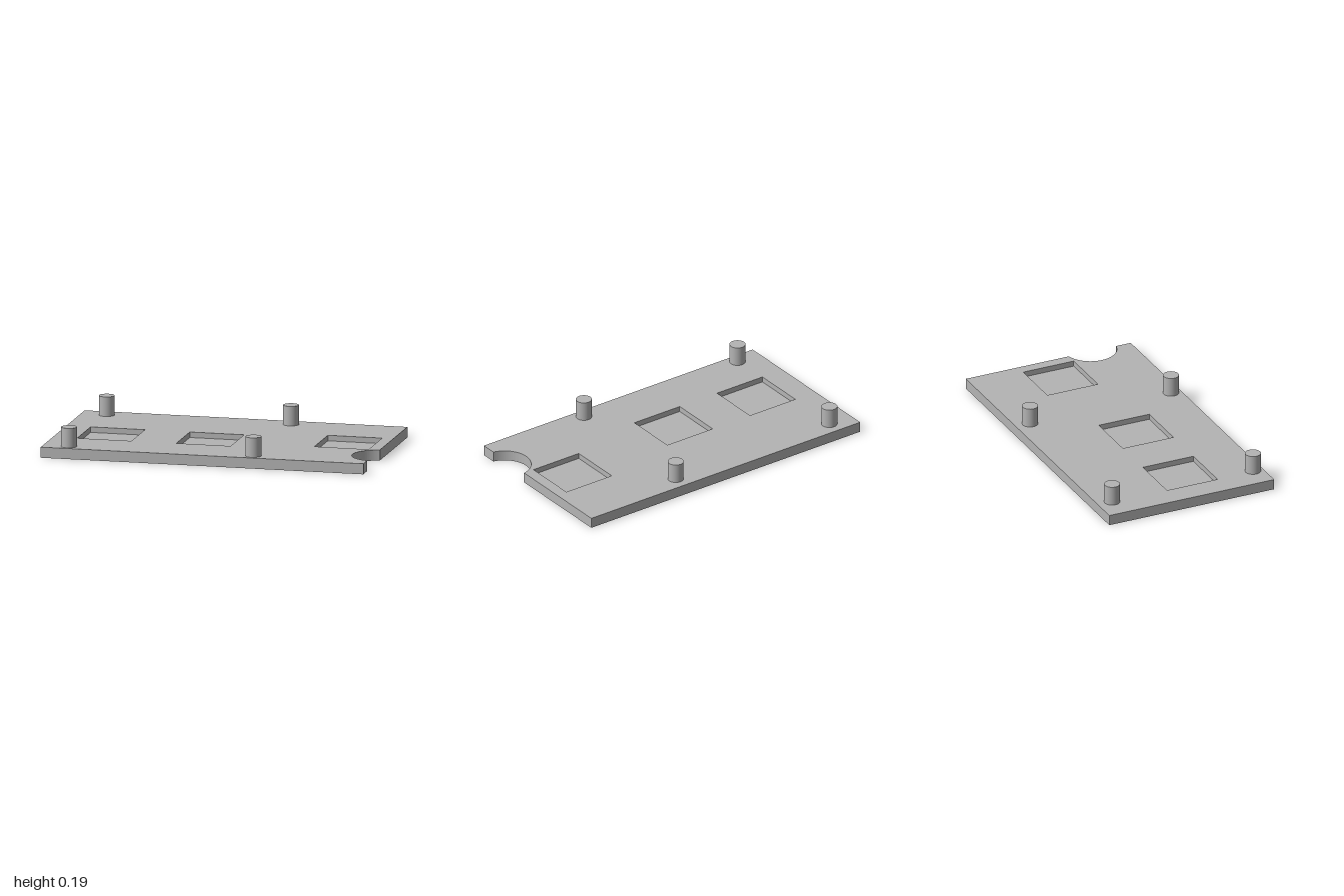
import * as THREE from 'three';
import { toCreasedNormals } from 'three/addons/utils/BufferGeometryUtils.js';

const THICK = 0.065, FLOOR = 0.031, PEG_TOP = 0.185;
const HALF_W = 1, HALF_D = 0.55;

// Plan outlines use (x, -z), counter-clockwise seen from above
function plateOutline() {
  const cx = 1.03, cy = -0.295, r = 0.16;
  const a = Math.acos((HALF_W - cx) / r);
  const s = new THREE.Shape();
  s.moveTo(-HALF_W, -HALF_D);
  s.lineTo(HALF_W, -HALF_D);
  s.absarc(cx, cy, r, -a, a, true); // round notch in the left edge
  s.lineTo(HALF_W, HALF_D);
  s.lineTo(-HALF_W, HALF_D);
  return s;
}

// Upright wall along a closed outline
function wall(points, y0, y1) {
  const pos = [];
  points.forEach((p, i) => {
    const q = points[(i + 1) % points.length];
    const a = [p.x, y0, -p.y], b = [q.x, y0, -q.y];
    const c = [q.x, y1, -q.y], d = [p.x, y1, -p.y];
    pos.push(...a, ...b, ...c, ...a, ...c, ...d);
  });
  const g = new THREE.BufferGeometry();
  g.setAttribute('position', new THREE.Float32BufferAttribute(pos, 3));
  return toCreasedNormals(g, 0.5);
}

// Flat face of a shape at height y, facing up or down
function face(shape, y, down = false) {
  const g = new THREE.ShapeGeometry(shape, 32).rotateX(-Math.PI / 2).translate(0, y, 0);
  if (down) {
    g.index.array.reverse();
    g.computeVertexNormals();
  }
  return g;
}

export function createModel() {
  const model = new THREE.Group();
  model.name = 'mountingPlate';
  const grey = new THREE.MeshStandardMaterial({ color: 0xb4b4b4 });
  grey.name = 'grey';
  const add = (name, geometry) => {
    const mesh = new THREE.Mesh(geometry, grey);
    mesh.name = name;
    model.add(mesh);
    return mesh;
  };

  // Plate underside and outer edge
  const plate = plateOutline();
  add('plateUnderside', face(plate, 0, true));
  add('plateEdge', wall(plate.getPoints(32), 0, THICK));

  // Square pockets: walls and floors, cut from the top face
  const size = 0.337;
  for (const [x, z] of [[-0.85, -0.093], [-0.235, -0.093], [0.594, -0.2]]) {
    const corners = [[x, z], [x + size, z], [x + size, z + size], [x, z + size]]
      .map(([u, w]) => new THREE.Vector2(u, -w));
    plate.holes.push(new THREE.Path(corners));
    add('pocketWalls', wall(corners, FLOOR, THICK));
    add('pocketFloor', face(new THREE.Shape(corners), FLOOR));
  }
  add('plateTop', face(plate, THICK));

  // Four locating pegs
  const pegHeight = PEG_TOP - THICK;
  const pegGeometry = new THREE.CylinderGeometry(0.048, 0.048, pegHeight, 48);
  for (const x of [-0.84, 0.303])
    for (const z of [-0.455, 0.485])
      add('peg', pegGeometry).position.set(x, THICK + pegHeight / 2, z);

  return model;
}
